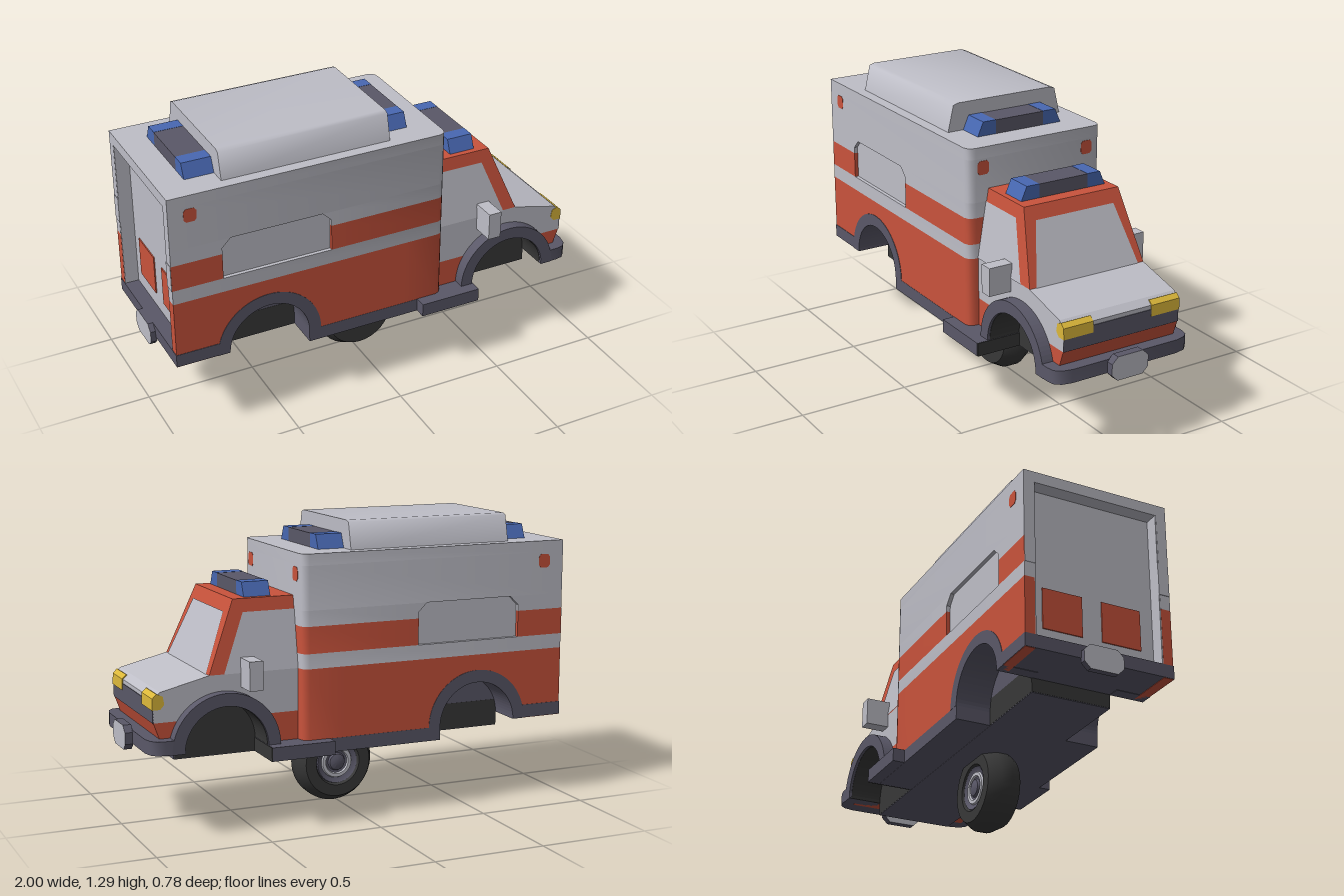
import * as THREE from 'three';
import { toCreasedNormals } from 'three/addons/utils/BufferGeometryUtils.js';

export function createModel() {
  const root = new THREE.Group();
  root.name = 'ambulance';
  const mat = (name, color, side = THREE.FrontSide) => {
    const m = new THREE.MeshStandardMaterial({ color, side });
    m.name = name;
    return m;
  };
  const light = mat('paleGrey', 0xbebec7, THREE.DoubleSide);
  const red = mat('red', 0xc9533c);
  const grey = mat('slateGrey', 0x5a5868);
  const blue = mat('blue', 0x4868b2);
  const yellow = mat('yellow', 0xdcb83a);
  const dark = mat('rubberBlack', 0x383838);

  const add = (name, geo, m) => {
    const mesh = new THREE.Mesh(geo, m);
    mesh.name = name;
    root.add(mesh);
    return mesh;
  };
  // box given by its limits
  const box = (name, m, x0, x1, y0, y1, z0, z1) => {
    const g = new THREE.BoxGeometry(x1 - x0, y1 - y0, z1 - z0);
    g.translate((x0 + x1) / 2, (y0 + y1) / 2, (z0 + z1) / 2);
    return add(name, g, m);
  };
  // the same box on both sides of the centre line
  const boxes = (name, m, x0, x1, y0, y1, z0, z1) => {
    box(name, m, x0, x1, y0, y1, z0, z1);
    box(name, m, x0, x1, y0, y1, -z1, -z0);
  };
  const poly = (pts) => new THREE.Shape(pts.map((p) => new THREE.Vector2(p[0], p[1])));
  const extrude = (shape, depth) =>
    new THREE.ExtrudeGeometry(shape, { depth, bevelEnabled: false, curveSegments: 20 });
  // side profile extruded from z0 to z1
  const slab = (name, m, shape, z0, z1) => add(name, extrude(shape, z1 - z0).translate(0, 0, z0), m);
  const slabs = (name, m, shape, z0, z1) => {
    slab(name, m, shape, z0, z1);
    slab(name, m, shape, -z1, -z0);
  };
  // symmetric plan outline extruded from y0 to y1
  const plan = (name, m, half, y0, y1) => {
    const pts = [...half, ...half.map((p) => [p[0], -p[1]]).reverse()];
    const g = extrude(poly(pts), y1 - y0).rotateX(-Math.PI / 2).translate(0, y0, 0);
    return add(name, toCreasedNormals(g, 0.8), m);
  };

  // Box body in coloured layers, with a rear door recess and side panel recesses
  const corner = [[0.258, 0.335], [0.278, 0.328], [0.288, 0.315], [0.292, 0.295]];
  const niche = [[-0.75, 0.335], [-0.75, 0.315], [-0.255, 0.315], [-0.255, 0.335]];
  const rear = [[-0.905, 0.29], [-0.975, 0.29], [-0.975, 0.335]];
  plan('bodyWaistStripe', light, [...rear, ...corner], 0.68, 0.745);
  plan('bodyUpperBand', red, [...rear, ...niche, ...corner], 0.745, 0.862);
  plan('bodyPanelZone', light, [...rear, ...niche, ...corner], 0.862, 0.93);
  plan('bodyUpper', light, [...rear, ...corner], 0.93, 1.12);
  plan('bodyRoof', light, [[-0.975, 0.335], ...corner], 1.12, 1.17);
  plan('bodyLowerFront', red, [[0.1, 0.335], ...corner], 0.37, 0.68);
  const lower = new THREE.Shape();
  lower.moveTo(-0.975, 0.37);
  lower.lineTo(-0.75, 0.37);
  lower.absarc(-0.55, 0.37, 0.2, Math.PI, 0, true);
  lower.lineTo(0.1, 0.37);
  lower.lineTo(0.1, 0.68);
  lower.lineTo(-0.975, 0.68);
  slabs('bodyLowerSide', red, lower, 0.29, 0.335);

  // Side panels with cut upper corners
  boxes('sidePanel', light, -0.75, -0.255, 0.745, 0.93, 0.31, 0.318);
  slabs('panelCorner', light, poly([[-0.75, 0.89], [-0.71, 0.93], [-0.75, 0.93]]), 0.315, 0.335);
  slabs('panelCorner', light, poly([[-0.255, 0.89], [-0.255, 0.93], [-0.295, 0.93]]), 0.315, 0.335);

  // Rear door, pale door frame and tail panels
  box('rearDoor', light, -0.912, -0.903, 0.4, 1.12, -0.29, 0.29);
  boxes('rearDoorJamb', light, -0.974, -0.905, 0.43, 1.12, 0.285, 0.291);
  boxes('rearPostFace', light, -0.977, -0.974, 0.745, 0.862, 0.285, 0.334);
  boxes('tailPanel', red, -0.917, -0.911, 0.5, 0.68, 0.045, 0.225);

  // Small marker lamps with cut corners
  const marker = poly([[-0.028, -0.018], [-0.018, -0.03], [0.018, -0.03], [0.028, -0.018],
    [0.028, 0.018], [0.018, 0.03], [-0.018, 0.03], [-0.028, 0.018]]);
  for (const s of [1, -1]) {
    add('sideMarker', extrude(marker, 0.004).translate(-0.88, 1.08, s * 0.3345 - 0.002), red);
    add('frontMarker', extrude(marker, 0.004).rotateY(Math.PI / 2).translate(0.2895, 1.08, s * 0.26), red);
  }

  // Roof unit with smooth shoulders
  const unit = poly([[-0.285, 1.165], [0.285, 1.165], [0.257, 1.285], [0.235, 1.293],
    [-0.235, 1.293], [-0.257, 1.285]]);
  add('roofUnit', toCreasedNormals(
    extrude(unit, 0.765).rotateY(Math.PI / 2).translate(-0.72, 0, 0), 1.3), light);

  // Light bars: grey centre, blue ends
  for (const [x, y, w] of [[-0.85, 1.168, 0.13], [0.045, 1.168, 0.12], [0.385, 0.983, 0.12]]) {
    box('lightBarCentre', grey, x, x + w, y, y + 0.063, -0.12, 0.12);
    for (const s of [1, -1]) {
      const end = poly([[0.12 * s, 0], [0.21 * s, 0], [0.182 * s, 0.064], [0.12 * s, 0.064]]);
      add('lightBarEnd', extrude(end, w).rotateY(Math.PI / 2).translate(x, y, 0), blue);
    }
  }

  // Upper cab, narrowing towards its roof
  const cabTop = extrude(poly([[0.29, 0.68], [0.69, 0.68], [0.565, 0.986], [0.29, 0.986]]), 0.57);
  cabTop.translate(0, 0, -0.285);
  const pos = cabTop.attributes.position;
  for (let i = 0; i < pos.count; i++) if (pos.getY(i) > 0.9) pos.setZ(i, Math.sign(pos.getZ(i)) * 0.235);
  cabTop.computeVertexNormals();
  add('cabUpper', cabTop, red);

  // Cab glazing as single faces
  const quad = (name, c, m) => {
    const g = new THREE.BufferGeometry();
    g.setAttribute('position', new THREE.Float32BufferAttribute(c.flat(), 3));
    g.setIndex([0, 1, 2, 0, 2, 3]);
    g.computeVertexNormals();
    add(name, g, m);
  };
  const sideZ = (y) => 0.288 - (0.05 * (y - 0.68)) / 0.306;
  const shieldX = (y) => 0.694 - (0.125 * (y - 0.68)) / 0.306;
  const sideGlass = [[0.29, 0.68], [0.625, 0.68], [0.525, 0.93], [0.29, 0.93]];
  quad('sideWindowLeft', sideGlass.map(([x, y]) => [x, y, sideZ(y)]), light);
  quad('sideWindowRight', sideGlass.map(([x, y]) => [x, y, -sideZ(y)]).reverse(), light);
  quad('windscreen', [[0.255, 0.68], [-0.255, 0.68], [-0.193, 0.93], [0.193, 0.93]]
    .map(([z, y]) => [shieldX(y), y, z]), light);

  // Lower cab and bonnet
  const a = Math.asin(0.65);
  const nose = new THREE.Shape();
  nose.moveTo(0.29, 0.495);
  nose.lineTo(0.45, 0.495);
  nose.absarc(0.63, 0.37, 0.2, Math.PI - a, a, true);
  for (const p of [[0.935, 0.5], [0.935, 0.603], [0.905, 0.628], [0.69, 0.68], [0.29, 0.68]]) nose.lineTo(...p);
  slab('cabLower', light, nose, -0.285, 0.285);
  box('cabSill', red, 0.29, 0.43, 0.37, 0.496, -0.285, 0.285);
  slab('noseLower', red, poly([[0.83, 0.37], [0.89, 0.37], [0.91, 0.43], [0.935, 0.5], [0.83, 0.5]]), -0.285, 0.285);
  box('grille', grey, 0.932, 0.938, 0.5, 0.585, -0.285, 0.285);
  slabs('headlight', yellow, poly([[0.887, 0.575], [0.905, 0.555], [0.941, 0.555], [0.939, 0.604],
    [0.92, 0.622], [0.893, 0.61]]), 0.145, 0.287);
  boxes('mirror', light, 0.49, 0.55, 0.62, 0.745, 0.28, 0.39);

  // Wheel arches with empty wells
  const arch = (x, inner, outer) => {
    const ring = new THREE.Shape();
    ring.moveTo(x + inner, 0.37);
    ring.lineTo(x + outer, 0.37);
    ring.absarc(x, 0.37, outer, 0, Math.PI, false);
    ring.lineTo(x - inner, 0.37);
    ring.absarc(x, 0.37, inner, Math.PI, 0, true);
    return ring;
  };
  for (const x of [-0.55, 0.632]) slabs('wheelArch', grey, arch(x, 0.185, 0.24), 0.18, 0.337);
  slabs('frontWellLiner', dark, arch(0.632, 0.183, 0.19), 0.18, 0.325);
  box('rearWellWall', dark, -0.735, -0.365, 0.312, 0.43, -0.18, 0.18);
  box('rearWellUpperWall', grey, -0.735, -0.365, 0.43, 0.565, -0.179, 0.179);
  box('frontWellWall', dark, 0.445, 0.815, 0.312, 0.565, -0.18, 0.18);
  box('frontCrossFace', grey, 0.811, 0.817, 0.31, 0.38, -0.18, 0.18);
  boxes('wellEndFace', dark, 0.449, 0.453, 0.31, 0.37, 0.18, 0.388);

  // Chassis, sills, running boards and bumpers
  box('chassisFloor', grey, -0.734, 0.814, 0.309, 0.314, -0.179, 0.179);
  box('sill', grey, -0.365, 0.445, 0.31, 0.37, -0.336, 0.336);
  box('runningBoard', grey, 0.165, 0.45, 0.311, 0.371, -0.39, 0.39);
  box('rearSill', grey, -0.977, -0.735, 0.372, 0.43, -0.337, 0.337);
  plan('frontBumper', grey, [[0.815, 0.337], [0.9, 0.337], [0.935, 0.33], [0.957, 0.305], [0.967, 0.26]], 0.372, 0.432);

  // Eight-sided bumper plates
  const plate = poly([[-0.09, -0.025], [-0.062, -0.053], [0.062, -0.053], [0.09, -0.025],
    [0.09, 0.025], [0.062, 0.053], [-0.062, 0.053], [-0.09, 0.025]]);
  const plateGeo = (depth) => extrude(plate, depth).rotateY(Math.PI / 2);
  add('frontPlate', plateGeo(0.036).translate(0.964, 0.397, 0), [light, grey]);
  add('rearPlate', plateGeo(0.028).translate(-1, 0.377, 0), [light, grey]);

  // Single wheel under the middle, with its hub on the far side
  const lathe = (name, m, pts) => add(name, toCreasedNormals(
    new THREE.LatheGeometry(pts.map((p) => new THREE.Vector2(p[0], p[1])), 32)
      .rotateX(-Math.PI / 2).translate(0.013, 0.185, 0), 0.6), m);
  // profile heights run towards -z
  lathe('tyre', dark, [[0, -0.077], [0.155, -0.077], [0.185, -0.025], [0.185, 0.025], [0.155, 0.077],
    [0.105, 0.077], [0.095, 0.055], [0, 0.055]]);
  lathe('rim', grey, [[0.1, 0.056], [0.096, 0.07], [0.08, 0.06], [0, 0.06]]);
  lathe('rimRing', light, [[0.075, 0.058], [0.07, 0.068], [0.055, 0.068], [0.05, 0.058]]);
  lathe('hub', grey, [[0.042, 0.058], [0.036, 0.07], [0.018, 0.076], [0, 0.076]]);

  return root;
}
